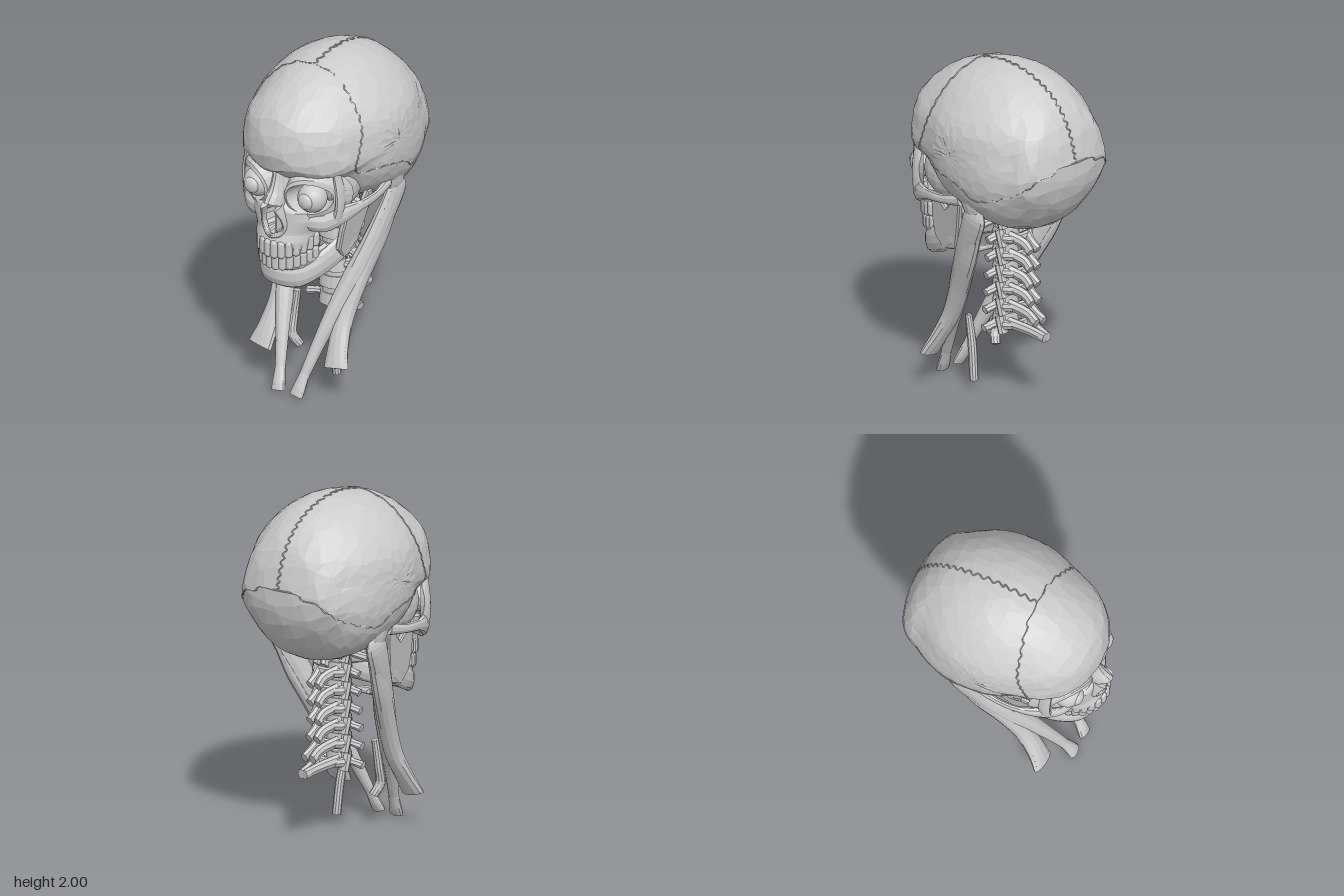
import * as THREE from 'three';
import { RoundedBoxGeometry } from 'three/addons/geometries/RoundedBoxGeometry.js';

const V = (x, y, z) => new THREE.Vector3(x, y, z);
const X = V(1, 0, 0), Y = V(0, 1, 0);
const { lerp, smoothstep } = THREE.MathUtils;
const bone = new THREE.MeshStandardMaterial({ color: 0xcccccc, flatShading: true, side: THREE.DoubleSide });
const smooth = new THREE.MeshStandardMaterial({ color: 0xcccccc });

// Skin a list of equal-length closed rings
function loft(rings, capStart = true) {
  const n = rings[0].length, pts = rings.flat(), idx = [];
  for (let i = 0; i < rings.length - 1; i++) for (let j = 0; j < n; j++) {
    const a = i * n + j, b = i * n + (j + 1) % n;
    idx.push(a, b, a + n, b, b + n, a + n);
  }
  const cap = (ring, start, flip) => {
    const c = pts.push(ring.reduce((s, p) => s.add(p), V(0, 0, 0)).divideScalar(n)) - 1;
    for (let j = 0; j < n; j++) {
      const a = start + j, b = start + (j + 1) % n;
      idx.push(c, flip ? b : a, flip ? a : b);
    }
  };
  if (capStart) cap(rings[0], 0, true);
  cap(rings.at(-1), (rings.length - 1) * n, false);
  const g = new THREE.BufferGeometry().setFromPoints(pts);
  g.setIndex(idx);
  g.computeVertexNormals();
  return g;
}

// Sweep an ellipse along points [x, y, z, a, b]; a lies along ref, b across it
function sweep(points, ref = X, steps = 16, sides = 10) {
  const curve = new THREE.CatmullRomCurve3(points.map(p => V(p[0], p[1], p[2])));
  const rings = [];
  for (let i = 0; i <= steps; i++) {
    const u = i / steps, k = Math.min(u * (points.length - 1), points.length - 1.0001), m = Math.floor(k);
    const size = c => lerp(points[m][c], points[m + 1][c], k - m);
    const p = curve.getPoint(u), t = curve.getTangent(u);
    const e1 = ref.clone().addScaledVector(t, -t.dot(ref)).normalize(), e2 = t.clone().cross(e1);
    rings.push(Array.from({ length: sides }, (_, j) => {
      const w = j / sides * Math.PI * 2;
      return p.clone().addScaledVector(e1, size(3) * Math.cos(w)).addScaledVector(e2, size(4) * Math.sin(w));
    }));
  }
  return loft(rings);
}

function mirror(geo) {
  const g = geo.index ? geo.toNonIndexed() : geo.clone();
  g.scale(-1, 1, 1);
  for (const at of Object.values(g.attributes)) {
    const s = at.itemSize;
    for (let i = 0; i < at.count; i += 3) for (let c = 0; c < s; c++) {
      const p = (i + 1) * s + c, q = (i + 2) * s + c, v = at.array[p];
      at.array[p] = at.array[q];
      at.array[q] = v;
    }
  }
  return g;
}
const bothSides = pts => [...pts.slice(1).reverse().map(p => [-p[0], ...p.slice(1)]), ...pts];

// Braincase: side outline [z, y], narrowing to each side by a rounded rule
const CZ = -0.06, CY = 1.55;
const outline = new THREE.CatmullRomCurve3([
  [-.07, 2], [.14, 1.97], [.26, 1.93], [.4, 1.84], [.5, 1.74], [.543, 1.6], [.54, 1.49], [.49, 1.42], [.36, 1.375],
  [.28, 1.29], [.18, 1.2], [.02, 1.13], [-.12, 1.09], [-.24, 1.075], [-.365, 1.09], [-.47, 1.155], [-.566, 1.285],
  [-.605, 1.39], [-.62, 1.5], [-.605, 1.6], [-.55, 1.75], [-.444, 1.88], [-.285, 1.965]
].map(([z, y]) => V(0, y, z)), true);
// Half width at fraction q of the outline: squarer low down and behind, pinched at the temples and crown
function halfWidth(q, y, z) {
  const n = 2.15 + .7 * smoothstep(-y, -1.6, -1.4) + 2.5 * smoothstep(-z, .42, .62) * smoothstep(y, 1.2, 1.45);
  const pinch = 1 - .06 * Math.exp(-(((z - .22) / .13) ** 2)) - .06 * smoothstep(y, 1.68, 1.88);
  return .45 * pinch * Math.sqrt(Math.max(0, 1 - q ** n));
}
const rim = outline.getPoints(240);
const around = p => Math.atan2(p.y - CY, p.z - CZ), reach = p => Math.hypot(p.y - CY, p.z - CZ);
function onSkull(z, y) {
  const p = V(0, y, z), gap = r => 1 - Math.cos(around(r) - around(p));
  const edge = rim.reduce((best, r) => gap(r) < gap(best) ? r : best);
  p.x = halfWidth(Math.min(1, reach(p) / reach(edge)), y, z);
  return p;
}
// Vertices slide along the surface a little, for uneven facets
function cranium() {
  const rings = [], cols = 46, rows = 24;
  for (let k = 1; k < rows; k++) rings.push(Array.from({ length: cols }, (_, j) => {
    const f = -Math.PI / 2 + (k + .28 * Math.sin(j * 4.7 + k * 2.9)) / rows * Math.PI, q = Math.cos(f);
    const p = outline.getPointAt((j + .28 * Math.sin(j * 2.3 + k * 5.1) + 1) / cols % 1);
    const y = CY + (p.y - CY) * q, z = CZ + (p.z - CZ) * q;
    return V(Math.sign(f) * halfWidth(q, y, z), y, z);
  }));
  return loft(rings);
}
// Jagged seam over the skull through [z, y] points
function suture(pts) {
  const c = new THREE.SplineCurve(pts.map(p => new THREE.Vector2(...p))), path = [];
  for (let i = 0; i <= 40; i++) {
    const p = c.getPoint(i / 40), w = i ? .006 * Math.sin(i * 2.3) : 0;
    path.push(onSkull(p.x + w, p.y + w * .6));
  }
  return new THREE.TubeGeometry(new THREE.CatmullRomCurve3(path), 80, .004, 4);
}

// Upper jaw: stacked rounded sections [y, half width, front z, back z], hollowed for the nose
const jawRows = [[.98, .165, .55, .26], [1.03, .178, .56, .22], [1.08, .185, .54, .2], [1.16, .215, .53, .22],
  [1.215, .2, .53, .24], [1.25, .09, .53, .27], [1.3, .07, .52, .28], [1.42, .05, .5, .3]];
function upperJaw() {
  const rings = [];
  for (let i = 0; i <= 32; i++) {
    const y = .98 + .44 * i / 32;
    const k = Math.max(1, jawRows.findIndex(r => r[0] >= y - 1e-6)), a = jawRows[k - 1], b = jawRows[k];
    const [, w, f, back] = a.map((v, c) => lerp(v, b[c], (y - a[0]) / (b[0] - a[0])));
    const hole = .068 * (1 - ((y - 1.13) / (y < 1.13 ? .06 : .12)) ** 2);
    rings.push(Array.from({ length: 64 }, (_, j) => {
      const t = j / 32 * Math.PI, x = w * Math.sin(t), cz = Math.cos(t);
      const z = (f + back) / 2 + (f - back) / 2 * Math.sign(cz) * Math.abs(cz) ** .9;
      return V(x, y, cz > 0 && Math.abs(x) < hole ? z - .13 : z);
    }));
  }
  return loft(rings);
}
// Eye socket: outer brow ring, rim, then a funnel inwards
function socket() {
  const edge = x => .515 - .16 * ((x - .05) / .27) ** 2;
  const ring = (cx, rx, ry, zf) => Array.from({ length: 24 }, (_, j) => {
    const t = j / 12 * Math.PI, x = Math.max(.03, cx + rx * Math.cos(t));
    return V(x, 1.31 + ry * Math.sin(t), zf(x, Math.sin(t)));
  });
  return loft([ring(.19, .16, .17, x => edge(x) - .07), ring(.19, .135, .125, (x, s) => edge(x) - .008 + .018 * s),
    ring(.188, .115, .1, (x, s) => edge(x) + .018 * s), ring(.185, .1, .088, x => edge(x) - .06),
    ring(.165, .05, .045, () => .22)], false);
}
function ramus() {
  const profile = [[.1, .885], [.2, .86], [.25, .93], [.25, 1.05], [.225, 1.2], [.19, 1.2], [.13, 1.12], [.08, 1.17],
    [.06, 1.23], [.02, 1.23], [.015, 1.18], [.06, 1.02]].map(p => new THREE.Vector2(...p));
  const g = new THREE.ExtrudeGeometry(new THREE.Shape(profile),
    { depth: .02, bevelEnabled: true, bevelSize: .008, bevelThickness: .008, bevelSegments: 1 });
  g.rotateY(-Math.PI / 2);
  const p = g.attributes.position;
  for (let i = 0; i < p.count; i++) p.setX(i, p.getX(i) + .25 + (p.getY(i) - .9) * .19);
  g.computeVertexNormals();
  return g;
}

export function createModel() {
  const model = new THREE.Group();
  model.name = 'skullAndNeck';
  const add = (name, geo, mat = bone, parent = model) => {
    const m = new THREE.Mesh(geo, mat);
    m.name = name;
    parent.add(m);
    return m;
  };
  const pair = (name, geo, mat = bone, parent = model) => {
    add(name + 'Left', geo, mat, parent);
    add(name + 'Right', mirror(geo), mat, parent);
  };

  // Skull
  add('cranium', cranium());
  pair('coronalSuture', suture([[.135, 1.974], [.165, 1.85], [.19, 1.7], [.235, 1.56], [.26, 1.48], [.2, 1.41]]));
  pair('lambdoidSuture', suture([[-.618, 1.55], [-.52, 1.43], [-.36, 1.35], [-.22, 1.32], [-.13, 1.38], [.05, 1.42], [.2, 1.41]]));
  add('sagittalSuture', new THREE.TubeGeometry(new THREE.CatmullRomCurve3(
    rim.filter(p => p.y > 1.55 && p.z < .14).sort((a, b) => b.z - a.z)
      .map((p, i) => V(.012 * Math.sin(i * 2.1), p.y, p.z))), 160, .004, 4));
  pair('temple', new THREE.SphereGeometry(1, 14, 10).scale(.085, .15, .15).translate(.24, 1.33, .19));
  add('maxilla', upperJaw());
  pair('eyeSocket', socket());
  add('nasalBone', sweep([[0, 1.45, .465, .034, .05], [0, 1.37, .465, .042, .075], [0, 1.3, .475, .055, .1], [0, 1.24, .5, .056, .115]], X, 10, 14));
  pair('nasalMargin', sweep([[.045, 1.25, .55, .016, .04], [.066, 1.18, .53, .014, .025], [.07, 1.12, .52, .014, .02], [.04, 1.075, .535, .016, .016], [0, 1.065, .555, .014, .016]]));
  add('nasalSeptum', new THREE.BoxGeometry(.012, .16, .12).translate(0, 1.15, .45));
  pair('cheekbone', sweep([[.15, 1.155, .42, .06, .05], [.24, 1.15, .39, .062, .04], [.315, 1.19, .315, .058, .03],
    [.37, 1.22, .2, .032, .015], [.38, 1.235, .06, .028, .016], [.36, 1.26, -.06, .04, .03]], Y, 20));
  pair('outerOrbitBar', sweep([[.3, 1.17, .345, .03, .03], [.318, 1.25, .335, .022, .04], [.318, 1.34, .335, .02, .04], [.3, 1.45, .345, .02, .03]]));
  pair('mastoid', sweep([[.37, 1.43, -.12, .02, .04], [.362, 1.33, -.13, .038, .085], [.35, 1.24, -.15, .04, .08], [.335, 1.17, -.15, .038, .06], [.32, 1.11, -.12, .022, .025]]));
  pair('styloid', sweep([[.24, 1.2, -.03, .02, .02], [.22, 1.08, .01, .008, .008], [.2, 1.0, .04, .003, .003]]));
  pair('pterygoid', sweep([[.1, 1.24, .2, .02, .06], [.1, 1.12, .2, .016, .05], [.1, 1.03, .19, .012, .03]]));

  // Eyes with raised corneas
  pair('eyeball', new THREE.SphereGeometry(.085, 28, 20).translate(.185, 1.3, .415), smooth);
  pair('cornea', new THREE.SphereGeometry(.048, 20, 14).scale(1, 1, .6).translate(.185, 1.3, .483), smooth);

  // Lower jaw
  add('mandible', sweep(bothSides([[0, .8, .478, .075, .036], [.1, .803, .45, .076, .036], [.172, .84, .36, .072, .032],
    [.218, .895, .24, .075, .026], [.248, .965, .145, .068, .018], [.258, 1.0, .1, .035, .014]]), Y, 40, 10));
  add('lowerGum', sweep(bothSides([[0, .88, .515, .035, .024], [.09, .88, .48, .035, .026], [.15, .895, .39, .035, .028], [.175, .92, .27, .04, .028]]), Y, 30, 8));
  pair('jawRamus', ramus());

  // Teeth along two arches, rising towards the back
  const teeth = new THREE.Group();
  teeth.name = 'teeth';
  model.add(teeth);
  for (const [name, rx, rz, y, h] of [['upperTooth', .175, .255, .985, .11], ['lowerTooth', .168, .238, .9, .1]]) {
    const arch = new THREE.EllipseCurve(0, .3, rx, rz, .2, Math.PI - .2);
    for (let i = 0; i < 14; i++) {
      const u = (i + .5) / 14, p = arch.getPointAt(u), t = arch.getTangentAt(u), back = Math.abs(u - .5) * 2;
      const g = new RoundedBoxGeometry(.044, h * (1 - .2 * back), .042 + .016 * back, 2, .019);
      const tooth = add(name, g, smooth, teeth);
      tooth.position.set(p.x, y + .045 * back * back, p.y);
      tooth.rotation.y = Math.atan2(t.y, -t.x);
    }
  }

  // Hyoid
  add('hyoid', sweep(bothSides([[0, .765, .225, .025, .015], [.06, .77, .2, .02, .012], [.1, .79, .14, .012, .01], [.11, .81, .08, .012, .012]]), Y, 24, 8));

  // Neck vertebrae, top to bottom
  [1.08, .97, .865, .76, .66, .555, .445].forEach((y, i) => {
    const v = new THREE.Group(), wide = i === 0 ? .2 : .125 + .006 * i, tip = [.22, .28, .28, .28, .29, .33, .38][i];
    v.name = 'vertebra' + (i + 1);
    v.position.y = y;
    model.add(v);
    if (i) {
      add('body', new THREE.CylinderGeometry(.078, .088, .072, 14).scale(1, 1, .72).translate(0, 0, -.045), bone, v);
      add('disc', new THREE.CylinderGeometry(.07, .07, .04, 14).scale(1, 1, .7).translate(0, .052, -.045), bone, v);
    } else add('dens', sweep([[0, -.1, -.03, .03, .03], [0, .04, -.03, .022, .022]], X, 4, 8), bone, v);
    add('arch', new THREE.TorusGeometry(.085, .024, 8, 18).rotateX(Math.PI / 2).scale(1.1, 1.2, .85).translate(0, 0, -.115), bone, v);
    pair('transverse', sweep([[.06, 0, -.06, .026, .026], [.11, -.005, -.07, .018, .03], [wide + .02, -.02, -.06, .024, .028]], Y, 6, 8), bone, v);
    pair('facet', sweep([[.095, -.05, -.13, .032, .024], [.1, .05, -.105, .032, .026]], X, 4, 8), bone, v);
    const drop = i === 6 ? -.03 : -.06;
    pair('spine', sweep([[.065, .01, -.14, .03, .034], [.025, drop * .4, -(.17 + tip) / 2, .026, .032], [i < 6 ? .028 : .012, drop, -tip, .022, .03]], X, 6, 8), bone, v);
  });

  // Neck muscles: one head to the breastbone, one to the collarbone
  pair('sternalMuscle', sweep([[.352, 1.25, -.185, .015, .04], [.352, 1.18, -.165, .035, .085], [.305, .95, -.055, .05, .075], [.235, .7, .07, .06, .068], [.175, .5, .175, .05, .055],
    [.13, .33, .26, .038, .04], [.085, .14, .345, .03, .027], [.07, .06, .38, .04, .028], [.062, .015, .4, .045, .022]], X, 36, 12));
  pair('clavicularMuscle', sweep([[.352, 1.18, -.18, .025, .06], [.305, .9, -.055, .045, .07], [.25, .65, .07, .052, .06], [.225, .45, .165, .055, .05],
    [.24, .3, .245, .065, .038], [.26, .2, .295, .08, .028]], X, 28, 12));

  // Blood vessels
  add('vesselLeft', sweep([[.1, .43, .15, .02, .02], [.11, .26, .11, .026, .026], [.12, .05, .085, .026, .026]], X, 14, 10));
  add('vesselRight', sweep([[-.12, .52, .13, .022, .022], [-.13, .36, .15, .026, .026], [-.125, .26, .17, .028, .028], [-.1, .19, .14, .028, .028]], X, 18, 10));
  return model;
}
